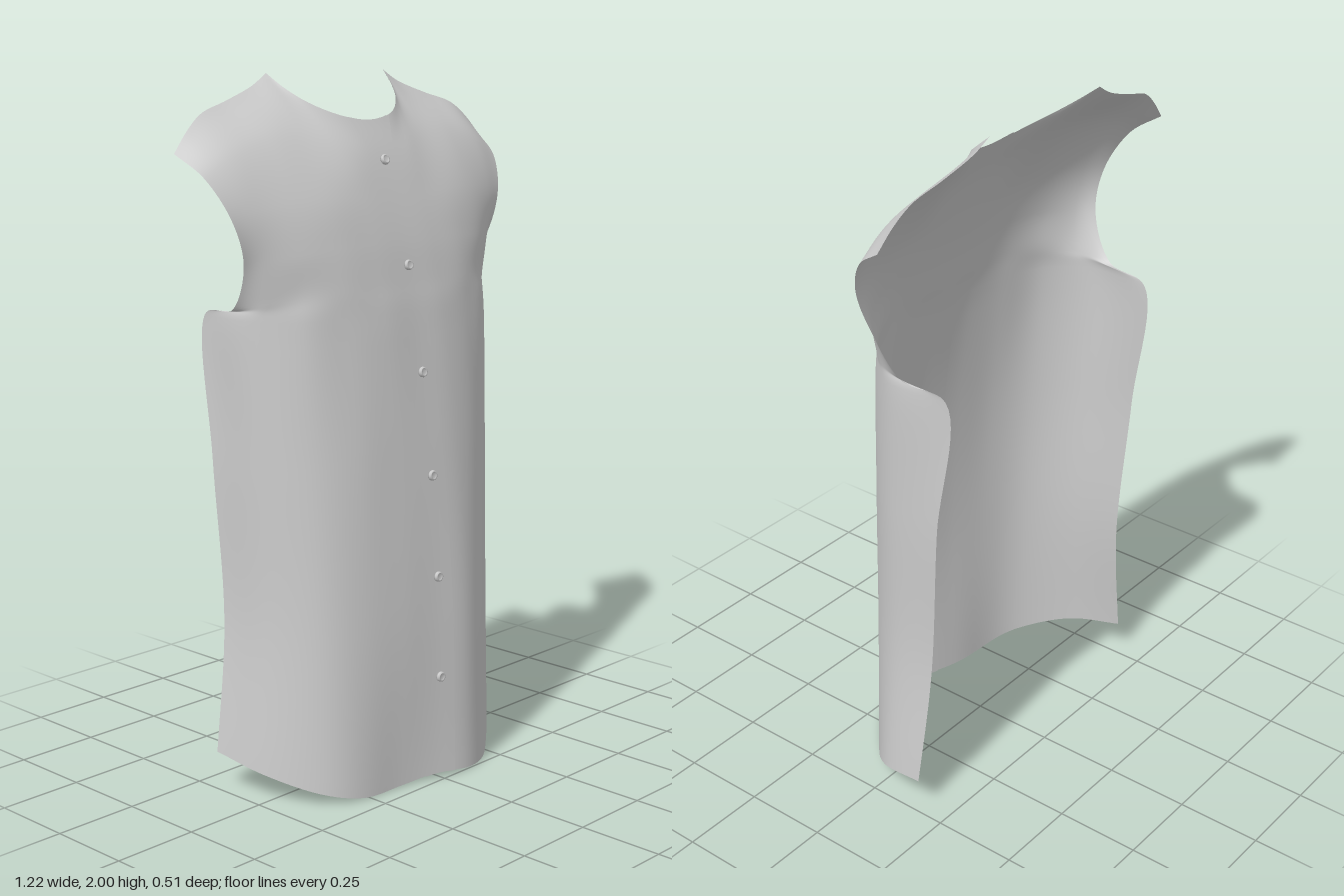
import * as THREE from 'three';

const V = (p) => new THREE.Vector3(...p);
const material = new THREE.MeshStandardMaterial({ color: 0xcccccc, side: THREE.DoubleSide });

// Half cross-sections from the centre front to the side seam or armhole, hem upwards.
const ROWS = [
  [[0, .012, .23], [.12, .002, .226], [.25, 0, .19], [.38, .03, .11], [.47, .075, -.01], [.5, .11, -.17]],
  [[0, .5, .222], [.12, .5, .218], [.25, .5, .175], [.37, .5, .095], [.44, .5, -.02], [.458, .5, -.185]],
  [[0, .95, .185], [.12, .95, .18], [.25, .95, .15], [.37, .95, .08], [.445, .95, -.03], [.46, .95, -.215]],
  [[0, 1.35, .125], [.12, 1.35, .125], [.25, 1.35, .105], [.37, 1.35, .06], [.455, 1.35, -.05], [.45, 1.35, -.245]],
  [[0, 1.43, .108], [.12, 1.43, .108], [.25, 1.43, .095], [.36, 1.42, .055], [.44, 1.4, -.01], [.468, 1.38, -.11]],
  [[0, 1.54, .083], [.12, 1.54, .083], [.25, 1.54, .075], [.36, 1.53, .05], [.45, 1.52, .005], [.495, 1.51, -.035]],
  [[0, 1.66, .046], [.12, 1.665, .044], [.25, 1.67, .035], [.36, 1.67, .015], [.47, 1.65, -.01], [.54, 1.63, -.03]],
  [[0, 1.78, 0], [.12, 1.79, -.01], [.24, 1.83, -.06], [.36, 1.83, -.075], [.49, 1.79, -.075], [.585, 1.74, -.085]],
];
const NECK = [[0, 1.87, -.045], [.1, 1.885, -.06], [.175, 1.92, -.11], [.215, 1.96, -.165], [.235, 2, -.217]];
const SHOULDER = [[.235, 2, -.217], [.29, 1.968, -.212], [.4, 1.93, -.2], [.5, 1.9, -.188], [.56, 1.856, -.178], [.612, 1.8, -.17]];
const CORNER = 0.4; // where the neckline meets the shoulder seam

// A smooth curve through a half section and its mirror image.
function mirrored(half) {
  const left = half.slice(1).reverse().map(([x, y, z]) => V([-x, y, z]));
  return new THREE.CatmullRomCurve3([...left, ...half.map(V)]);
}
const rowCurves = ROWS.map(mirrored);
const neck = mirrored(NECK);
const shoulder = new THREE.CatmullRomCurve3(SHOULDER.map(V));

function topEdge(s) {
  if (Math.abs(s) <= CORNER) return neck.getPoint((s / CORNER + 1) / 2);
  const p = shoulder.getPoint((Math.abs(s) - CORNER) / (1 - CORNER));
  p.x *= Math.sign(s);
  return p;
}

// Vertical line of cloth at s (-1 = right side, 1 = left side).
function column(s) {
  return new THREE.CatmullRomCurve3([...rowCurves.map((c) => c.getPoint((s + 1) / 2)), topEdge(s)]);
}

// Uneven drape: the lower left front swings forward, the right front falls back.
function drape(p) {
  const fade = Math.max(0, 1 - p.y / 1.3);
  if (Math.abs(p.x) < 0.5) p.z += 0.024 * fade * Math.sign(p.x) * Math.sin(Math.PI * 4 * Math.abs(p.x));
  return p;
}

// A patch of cloth between two columns, shifted forwards or back.
function cloth(name, s0, s1, nx, ny, offset = 0) {
  const pos = [], index = [];
  for (let i = 0; i <= nx; i++) {
    const line = column(s0 + (s1 - s0) * i / nx);
    for (let j = 0; j <= ny; j++) {
      const p = drape(line.getPoint(j / ny));
      pos.push(p.x, p.y, p.z + offset);
      if (i < nx && j < ny) {
        const a = i * (ny + 1) + j, b = a + ny + 1;
        index.push(a, b, b + 1, a, b + 1, a + 1);
      }
    }
  }
  const geometry = new THREE.BufferGeometry();
  geometry.setAttribute('position', new THREE.Float32BufferAttribute(pos, 3));
  geometry.setIndex(index);
  geometry.computeVertexNormals();
  const mesh = new THREE.Mesh(geometry, material);
  mesh.name = name;
  return mesh;
}

// Point and slope of the centre front at a given height.
function centreAt(y) {
  const line = column(0);
  let lo = 0, hi = 1;
  for (let k = 0; k < 30; k++) {
    const mid = (lo + hi) / 2;
    if (line.getPoint(mid).y < y) lo = mid; else hi = mid;
  }
  return { point: line.getPoint(lo), tangent: line.getTangent(lo) };
}

export function createModel() {
  const group = new THREE.Group();
  group.name = 'shirtFront';
  group.add(cloth('frontPanel', -1, 1, 80, 96));

  // Button placket overlapping in front, facing behind
  group.add(cloth('placket', -0.08, 0.08, 6, 96, 0.004));
  group.add(cloth('innerFacing', -0.08, 0.08, 6, 96, -0.004));

  // Buttons with a raised rim
  const profile = [[0, -.006], [.014, -.006], [.015, 0], [.013, .006], [.009, .005], [.008, .003], [0, .003]];
  const buttonGeometry = new THREE.LatheGeometry(profile.map(([x, y]) => new THREE.Vector2(x, y)), 16);
  for (const y of [1.76, 1.475, 1.18, .89, .6, .305]) {
    const { point, tangent } = centreAt(y);
    const normal = new THREE.Vector3(0, -tangent.z, tangent.y).normalize();
    const button = new THREE.Mesh(buttonGeometry, material);
    button.name = 'button';
    button.position.copy(point).addScaledVector(normal, 0.009);
    button.position.x = -0.004;
    button.quaternion.setFromUnitVectors(new THREE.Vector3(0, 1, 0), normal);
    group.add(button);
  }
  return group;
}
